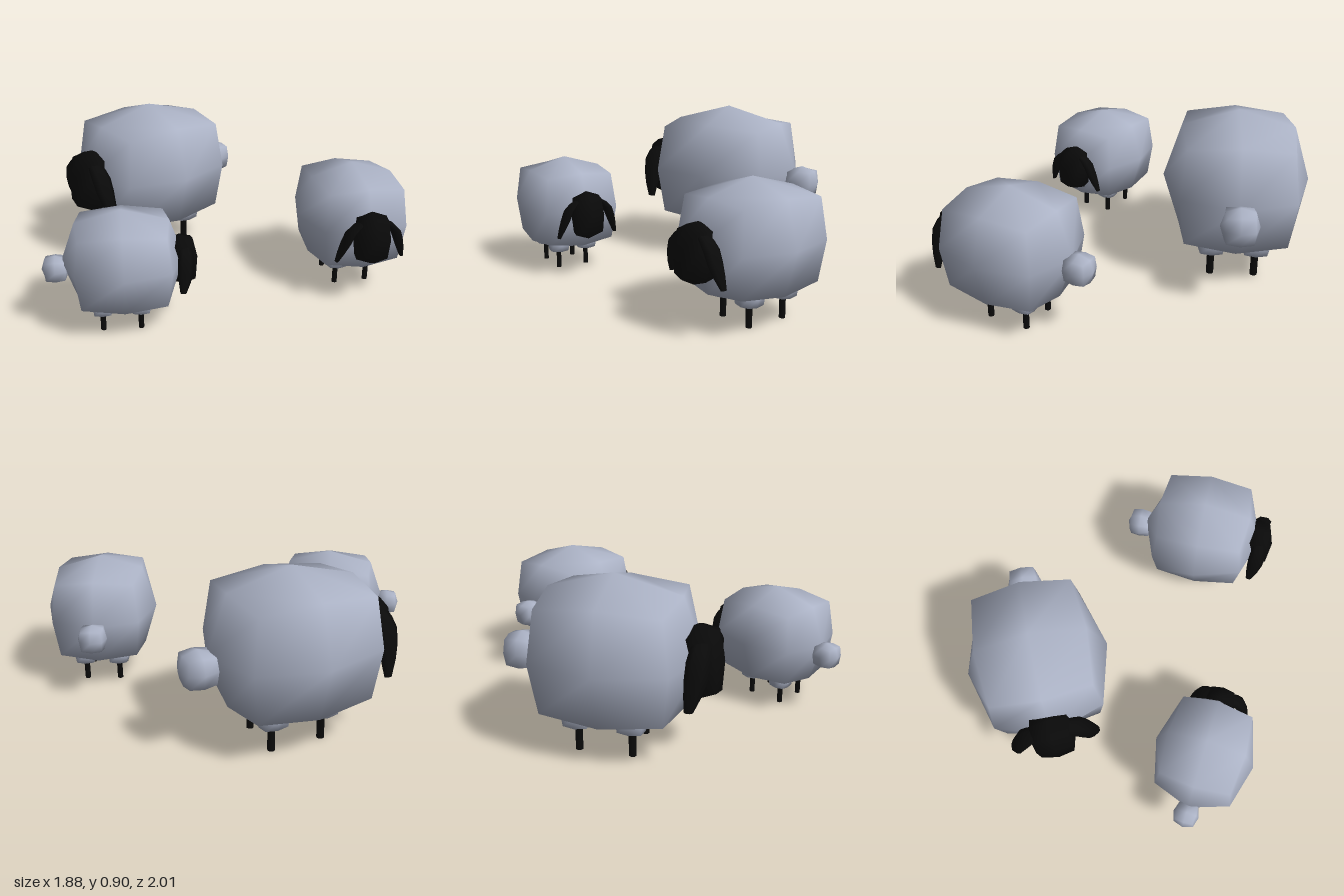
import * as THREE from 'three';
import { mergeVertices } from 'three/addons/utils/BufferGeometryUtils.js';

const wool = new THREE.MeshStandardMaterial({ color: 0xacb3c6 });
wool.name = 'wool';
const black = new THREE.MeshStandardMaterial({ color: 0x0a0a0a });
black.name = 'black';

// Rounded cube: 3x3x3 lattice with edge middles and corners pulled inward
function blob(rx, ry, rz, edge = 0.765, corner = 0.69) {
  const g = new THREE.BoxGeometry(2, 2, 2, 2, 2, 2);
  g.deleteAttribute('normal');
  g.deleteAttribute('uv');
  const merged = mergeVertices(g);
  const p = merged.attributes.position;
  for (let i = 0; i < p.count; i++) {
    const c = [p.getX(i), p.getY(i), p.getZ(i)];
    const axes = c.filter((v) => Math.abs(v) > 0.5).length;
    const k = [1, 1, edge, corner][axes];
    p.setXYZ(i, c[0] * k * rx, c[1] * k * ry, c[2] * k * rz);
  }
  merged.computeVertexNormals();
  return merged;
}

// Drooping leaf-shaped ear: rings follow a curve outward and down
function earGeometry() {
  const spine = new THREE.CatmullRomCurve3([
    new THREE.Vector3(0.07, 0.63, 0.45),
    new THREE.Vector3(0.15, 0.57, 0.45),
    new THREE.Vector3(0.2, 0.45, 0.44),
    new THREE.Vector3(0.24, 0.33, 0.42),
  ]);
  const g = new THREE.CylinderGeometry(1, 1, 1, 6, 5);
  g.deleteAttribute('normal');
  g.deleteAttribute('uv');
  const p = g.attributes.position;
  for (let i = 0; i < p.count; i++) {
    const t = 0.5 - p.getY(i);
    const c = spine.getPoint(t);
    const width = 0.015 + 0.045 * Math.sin(Math.PI * (0.15 + 0.8 * t));
    p.setXYZ(i, c.x + p.getX(i) * width * 0.55, c.y, c.z + p.getZ(i) * width);
  }
  const merged = mergeVertices(g);
  merged.computeVertexNormals();
  return merged;
}

function add(parent, name, geometry, material, x, y, z) {
  const mesh = new THREE.Mesh(geometry, material);
  mesh.name = name;
  mesh.position.set(x, y, z);
  parent.add(mesh);
  return mesh;
}

// Sheep facing +z, full size
function makeSheep(name) {
  const sheep = new THREE.Group();
  sheep.name = name;
  add(sheep, 'body', blob(0.393, 0.385, 0.446), wool, 0, 0.515, 0);
  add(sheep, 'tail', blob(0.1, 0.1, 0.1), wool, 0, 0.46, -0.49);

  // Head with a slight forward tilt
  const head = add(sheep, 'head', blob(0.13, 0.19, 0.115, 0.8, 0.7), black, 0, 0.493, 0.43);
  head.rotation.x = -0.08;

  for (const side of [-1, 1]) {
    const label = side > 0 ? 'left' : 'right';
    const ear = add(sheep, label + 'Ear', earGeometry(), black, 0, 0, 0);
    ear.scale.x = side;

    // Legs with woolly thighs
    for (const [end, z] of [['Front', 0.115], ['Back', -0.163]]) {
      add(sheep, label + end + 'Thigh', blob(0.088, 0.083, 0.088), wool, side * 0.12, 0.205, z);
      add(sheep, label + end + 'Leg', new THREE.CylinderGeometry(0.02, 0.02, 0.2, 8), black, side * 0.12, 0.1, z);
    }
  }
  return sheep;
}

export function createModel() {
  const flock = new THREE.Group();
  flock.name = 'flock';
  // name, x, z, heading, size
  const placements = [
    ['largeSheep', 0.25, -0.62, -1.824, 1],
    ['mediumSheep', 0.585, 0.615, -0.686, 0.783],
    ['smallSheep', -0.62, -0.03, Math.PI / 4, 0.711],
  ];
  for (const [name, x, z, heading, size] of placements) {
    const sheep = makeSheep(name);
    sheep.position.set(x, 0, z);
    sheep.rotation.y = heading;
    sheep.scale.setScalar(size);
    flock.add(sheep);
  }
  return flock;
}
